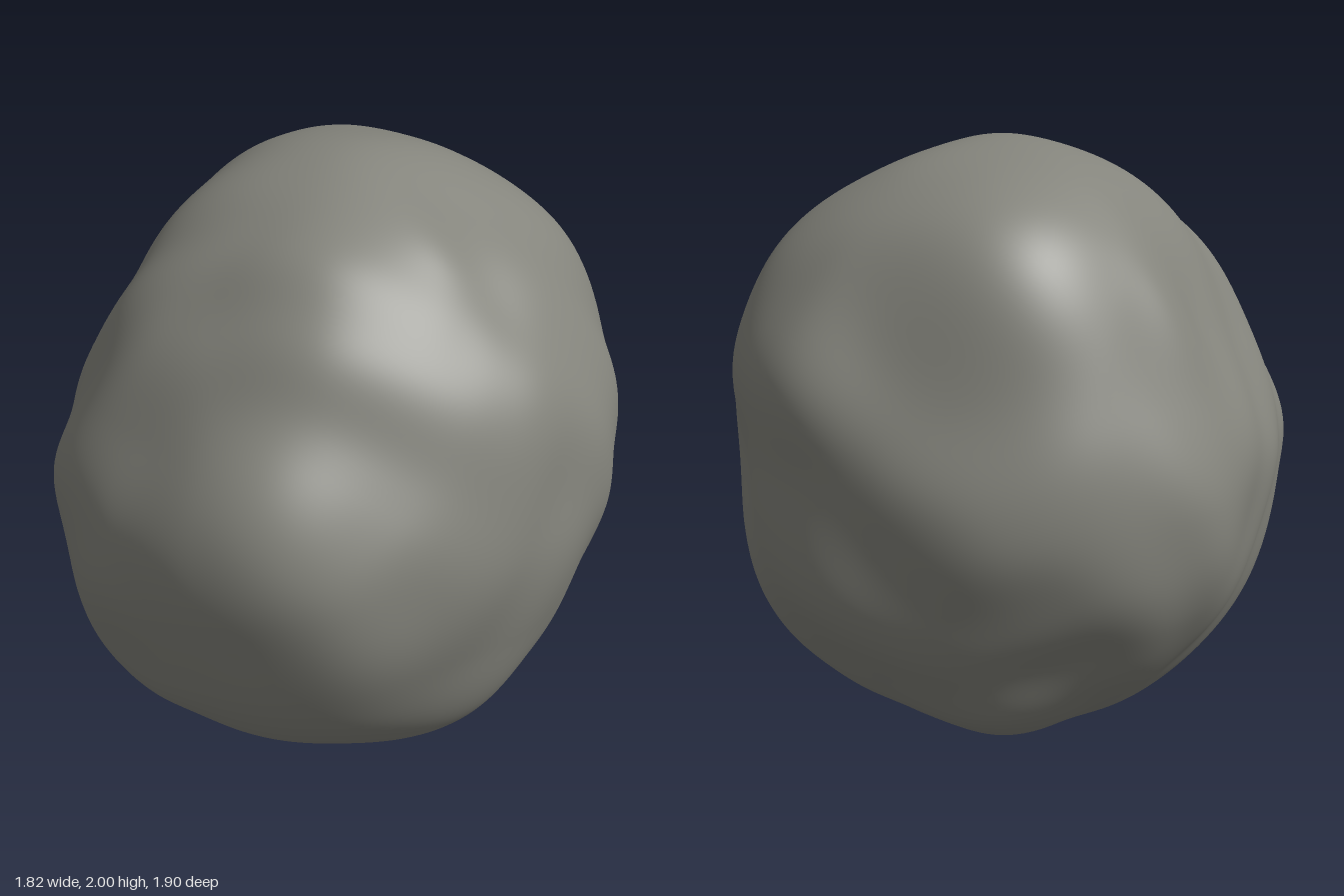
import * as THREE from 'three';
import { mergeVertices } from 'three/addons/utils/BufferGeometryUtils.js';

const V = (x, y, z) => new THREE.Vector3(x, y, z).normalize();
const X = V(1, 0, 0), Y = V(0, 1, 0), Z = V(0, 0, 1);

// A cross-section through the rock's middle: radii at even angles, from right towards up.
const section = (right, up, radii) => ({ right, up, normal: right.clone().cross(up), radii });

// A cross-section in the slanted plane that faces (x, z) and tilts upwards.
function slantedSection(x, z, tilt, radii) {
  const facing = V(x * Math.cos(tilt), Math.SQRT2 * Math.sin(tilt), z * Math.cos(tilt));
  const right = Y.clone().cross(facing).normalize();
  return section(right, facing.clone().cross(right), radii);
}

const TILT = Math.PI / 6;
const sections = [
  section(X, Y, [.91, .94, .97, .98, 1, 1, .93, .87, .89, .92, .88, .93, 1, 1.02, 1.02, .92]),
  section(Z, Y, [.94, .87, .87, .93, 1, 1.03, 1, 1.02, .94, .96, .95, .96, 1, .99, 1.04, .98]),
  section(X, Z, [.91, .93, 1, .99, .92, .93, .87, .86, .9, .91, .9, .9, .94, .89, .92, .93]),
  slantedSection(1, 1, TILT,
    [.92, .96, 1.03, 1.02, 1.03, .95, .82, .81, .85, .91, .99, 1, 1, 1, .95, .91]),
  slantedSection(-1, -1, TILT,
    [.85, .85, .88, .91, .97, .91, .93, .96, .92, .94, .97, .93, .98, .93, .88, .85]),
  slantedSection(1, -1, -TILT,
    [.91, .89, .95, 1.02, .98, .93, .91, .9, .98, .98, .99, .99, .96, .91, .89, .88]),
];

// Smooth closed interpolation of the radii at an angle.
function radiusAt(radii, angle) {
  const n = radii.length;
  const t = (angle / (2 * Math.PI) + 1) * n;
  const i = Math.floor(t), f = t - i;
  const [a, b, c, d] = [-1, 0, 1, 2].map(k => radii[(i + k + n) % n]);
  return b + 0.5 * f * (c - a + f * (2 * a - 5 * b + 4 * c - d + f * (3 * (b - c) + d - a)));
}

// Single knobs and hollows: direction and height.
const knobs = [
  [V(-.5, .8, -.25), .025], [V(-.5, .85, .1), -.025], // ridge and hollow on the top left
  [V(.6, .75, .25), .02],                             // top shoulder
  [V(-.2, -.4, .85), .02], [V(-.35, -.7, .6), -.025], // overhang low on the front
  [V(.65, .05, .75), .015],                           // front corner
];

// Shallow lumps over the whole surface.
function lumps({ x, y, z }) {
  const broad = Math.sin(5.1 * x + 2.3 * y + 1.2 * Math.sin(4 * z)) * Math.sin(4.7 * y - 3.1 * z + 0.8);
  const fine = Math.sin(9.3 * z + 4.1 * x + 2) * Math.sin(8.2 * y - 5.3 * x + Math.sin(6 * z));
  return 0.006 * broad + 0.01 * fine;
}

// Blend the sections, each counting most near its own plane, then add the relief.
function rockRadius(dir) {
  let sum = 0, total = 0;
  for (const { right, up, normal, radii } of sections) {
    const off = dir.dot(normal) ** 2;
    const weight = (1 - off) ** 2 / (off + 0.015);
    sum += weight * radiusAt(radii, Math.atan2(dir.dot(up), dir.dot(right)));
    total += weight;
  }
  let radius = sum / total + lumps(dir);
  for (const [at, height] of knobs) radius += height * Math.exp((dir.dot(at) - 1) * 30);
  return radius;
}

export function createModel() {
  const group = new THREE.Group();
  group.name = 'rock';
  const stone = new THREE.MeshStandardMaterial({ color: 0x84847c });
  stone.name = 'grey stone';

  // Boulder: a fine sphere pushed out to the blended sections
  const sphere = new THREE.IcosahedronGeometry(1, 40);
  sphere.deleteAttribute('uv');
  sphere.deleteAttribute('normal');
  const geometry = mergeVertices(sphere, 1e-5);
  const position = geometry.attributes.position;
  const dir = new THREE.Vector3();
  for (let i = 0; i < position.count; i++) {
    dir.fromBufferAttribute(position, i).normalize();
    dir.multiplyScalar(rockRadius(dir));
    position.setXYZ(i, dir.x, dir.y, dir.z);
  }
  geometry.computeVertexNormals();

  const boulder = new THREE.Mesh(geometry, stone);
  boulder.name = 'boulder';
  boulder.position.y = 1;
  group.add(boulder);
  return group;
}
